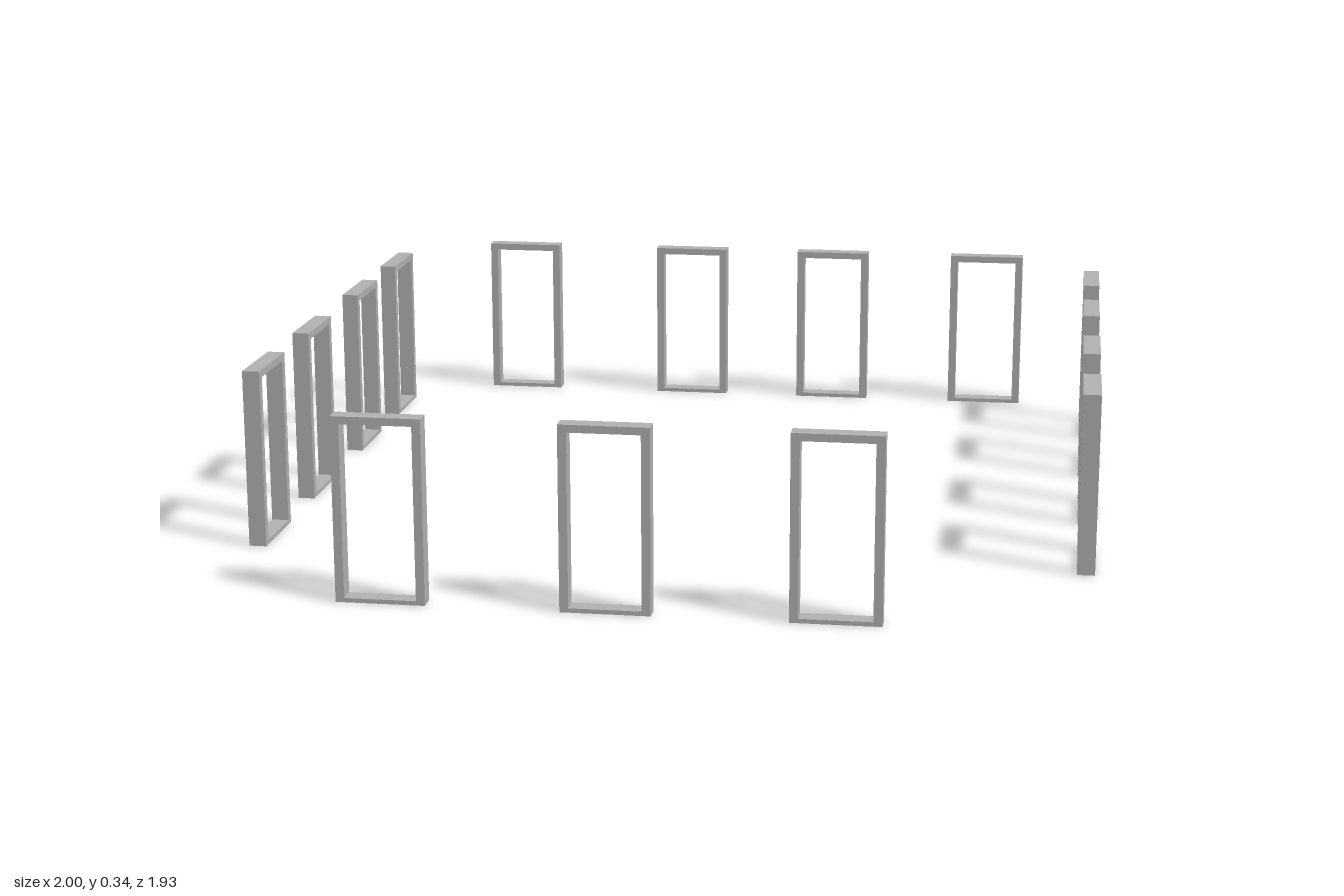
import * as THREE from 'three';

const W = 0.163, H = 0.342, DEPTH = 0.033; // outer size of one frame
const JAMB = 0.016, HEAD = 0.014, SILL = 0.008; // bar widths

// Rectangular frame with an open middle, standing on y = 0
function frameGeometry() {
  const w = W / 2, i = w - JAMB;
  const shape = new THREE.Shape([
    new THREE.Vector2(-w, 0), new THREE.Vector2(w, 0),
    new THREE.Vector2(w, H), new THREE.Vector2(-w, H),
  ]);
  shape.holes.push(new THREE.Path([
    new THREE.Vector2(-i, SILL), new THREE.Vector2(-i, H - HEAD),
    new THREE.Vector2(i, H - HEAD), new THREE.Vector2(i, SILL),
  ]));
  const geo = new THREE.ExtrudeGeometry(shape, { depth: DEPTH, bevelEnabled: false });
  return geo.translate(0, 0, -DEPTH / 2);
}

export function createModel() {
  const model = new THREE.Group();
  model.name = 'windowFrames';
  const grey = new THREE.MeshStandardMaterial({ color: 0xb2b2b2 });
  grey.name = 'frame grey';
  const geo = frameGeometry();

  // Four diagonal walls: turn direction and [x, z] of each frame
  const walls = [
    { name: 'backRight', turn: 1, at: [[-0.18, -0.898], [-0.403, -0.676], [-0.665, -0.413], [-0.896, -0.182]] },
    { name: 'backLeft', turn: -1, at: [[0.165, -0.887], [0.443, -0.608], [0.675, -0.376], [0.925, -0.127]] },
    { name: 'frontLeft', turn: 1, at: [[0.93, 0.202], [0.711, 0.42], [0.468, 0.663], [0.237, 0.894]] },
    { name: 'frontRight', turn: -1, at: [[-0.93, 0.303], [-0.643, 0.59], [-0.355, 0.877]] },
  ];
  for (const { name, turn, at } of walls) {
    const wall = new THREE.Group();
    wall.name = name + 'Wall';
    at.forEach(([x, z], n) => {
      const frame = new THREE.Mesh(geo, grey);
      frame.name = `${name}Frame${n + 1}`;
      frame.position.set(x, 0, z);
      frame.rotation.y = turn * Math.PI / 4;
      wall.add(frame);
    });
    model.add(wall);
  }
  return model;
}
